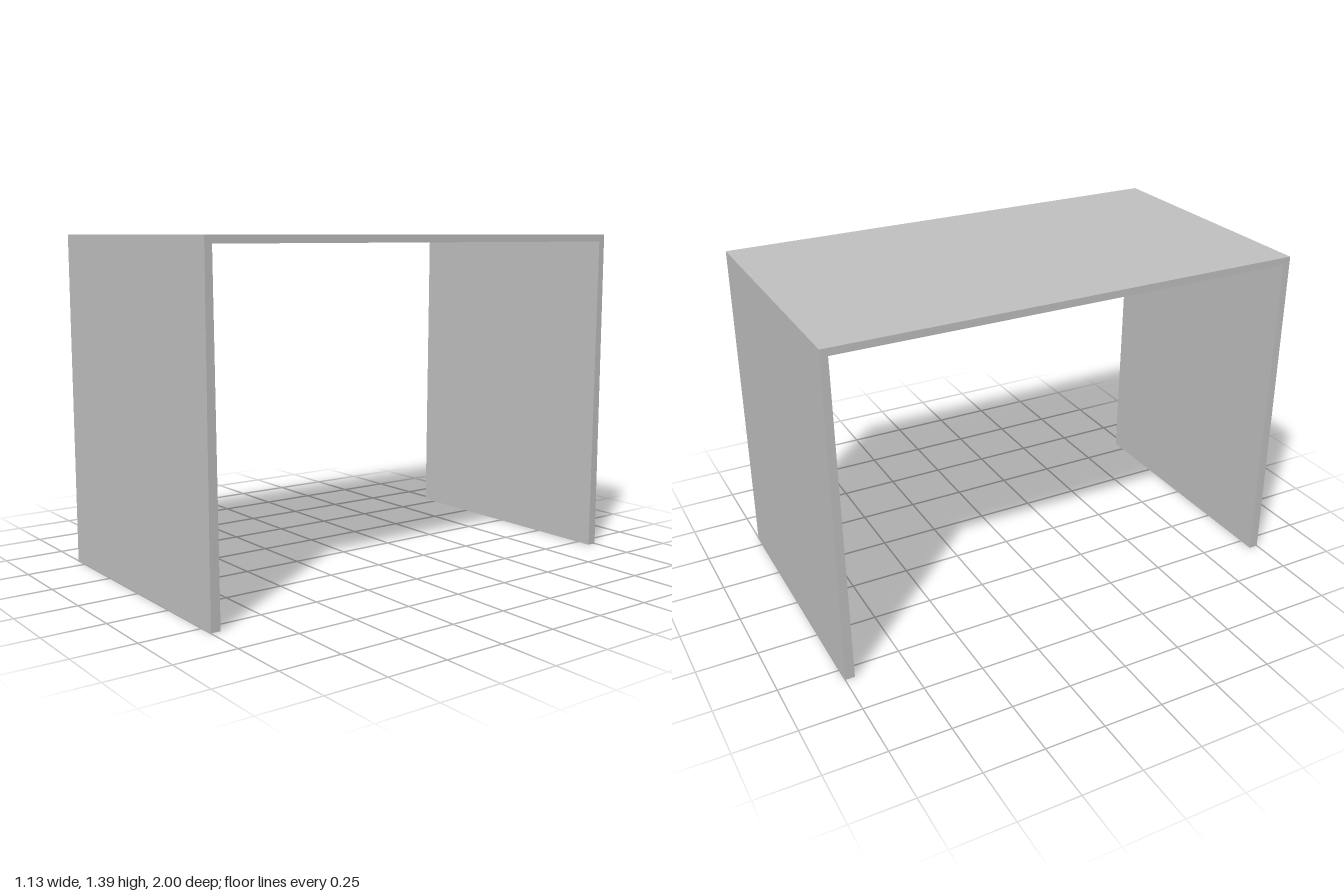
import * as THREE from 'three';

const WIDTH = 1.13, HEIGHT = 1.39, HALF = 1; // overall size, HALF along z
const TOP = 0.03;                            // thickness of the table top
const LEG_TOP = 0.03, LEG_FOOT = 0.04;       // side panels thicken towards the floor

export function createModel() {
  const model = new THREE.Group();
  model.name = 'waterfallTable';

  const grey = new THREE.MeshStandardMaterial({ color: 0xc0c0c0 });
  grey.name = 'light grey';

  // One continuous bent panel: outline of top and both legs in the z-y plane
  const outline = new THREE.Shape([
    [-HALF, 0],
    [-HALF + LEG_FOOT, 0],
    [-HALF + LEG_TOP, HEIGHT - TOP],
    [HALF - LEG_TOP, HEIGHT - TOP],
    [HALF - LEG_FOOT, 0],
    [HALF, 0],
    [HALF, HEIGHT],
    [-HALF, HEIGHT],
  ].map(([z, y]) => new THREE.Vector2(z, y)));

  // Extrude across the width, then turn the outline to run along z
  const geometry = new THREE.ExtrudeGeometry(outline, { depth: WIDTH, bevelEnabled: false });
  geometry.translate(0, 0, -WIDTH / 2);
  geometry.rotateY(-Math.PI / 2);

  const panel = new THREE.Mesh(geometry, grey);
  panel.name = 'tableTopAndLegs';
  model.add(panel);
  return model;
}
